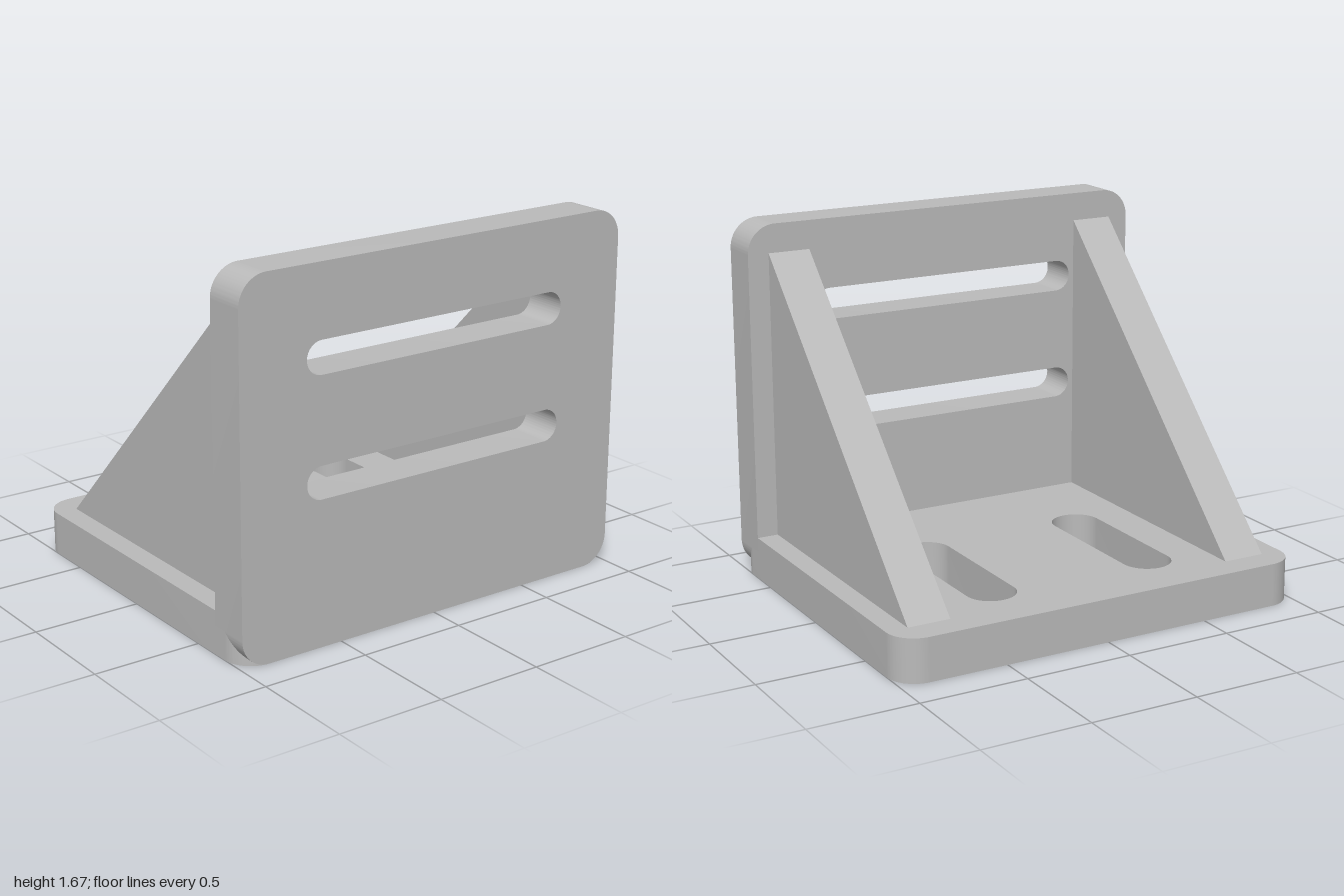
import * as THREE from 'three';
import { toCreasedNormals } from 'three/addons/utils/BufferGeometryUtils.js';

const W = 2, H = 1.667, D = 1.667, T = 0.2, R = 0.133;

// Rectangle with rounded corners, centred on cx, cy
function roundedRect(Type, cx, cy, w, h, r) {
  const x = w / 2, y = h / 2, q = Math.PI / 2;
  const s = new Type();
  s.absarc(cx + x - r, cy + y - r, r, 0, q);
  s.absarc(cx - x + r, cy + y - r, r, q, 2 * q);
  s.absarc(cx - x + r, cy - y + r, r, 2 * q, 3 * q);
  s.absarc(cx + x - r, cy - y + r, r, 3 * q, 4 * q);
  s.closePath();
  return s;
}

function extrude(shape, depth) {
  const g = new THREE.ExtrudeGeometry(shape, { depth, bevelEnabled: false, curveSegments: 16 });
  return toCreasedNormals(g, 0.6);
}

// Plate with fully rounded slots given as [cx, cy, w, h]
function slottedPlate(cy, h, slots) {
  const s = roundedRect(THREE.Shape, 0, cy, W, h, R);
  for (const [x, y, w, l] of slots) {
    s.holes.push(roundedRect(THREE.Path, x, y, w, l, Math.min(w, l) / 2 - 0.0005));
  }
  return extrude(s, T);
}

export function createModel() {
  const group = new THREE.Group();
  const grey = new THREE.MeshStandardMaterial({ color: 0xbababa });
  grey.name = 'grey metal';

  const add = (name, geometry) => {
    const mesh = new THREE.Mesh(geometry, grey);
    mesh.name = name;
    group.add(mesh);
    return mesh;
  };

  // Upright plate with two horizontal slots
  const upright = slottedPlate(H / 2, H, [[0, 0.735, 1.35, 0.147], [0, 1.27, 1.35, 0.147]]);
  add('uprightPlate', upright.translate(0, 0, D / 2 - T));

  // Base plate with two slots running front to back
  const base = slottedPlate(0, D, [[-0.4, 0.205, 0.23, 0.83], [0.4, 0.205, 0.23, 0.83]]);
  add('basePlate', base.rotateX(-Math.PI / 2));

  // Triangular ribs joining the plates
  const inner = D / 2 - T;
  const triangle = new THREE.Shape([
    new THREE.Vector2(-inner, T),
    new THREE.Vector2(0.7, T),
    new THREE.Vector2(-inner, H - R),
  ]);
  const rib = extrude(triangle, 0.2).rotateY(Math.PI / 2);
  add('leftRib', rib).position.x = 0.7;
  add('rightRib', rib).position.x = -0.9;

  return group;
}
